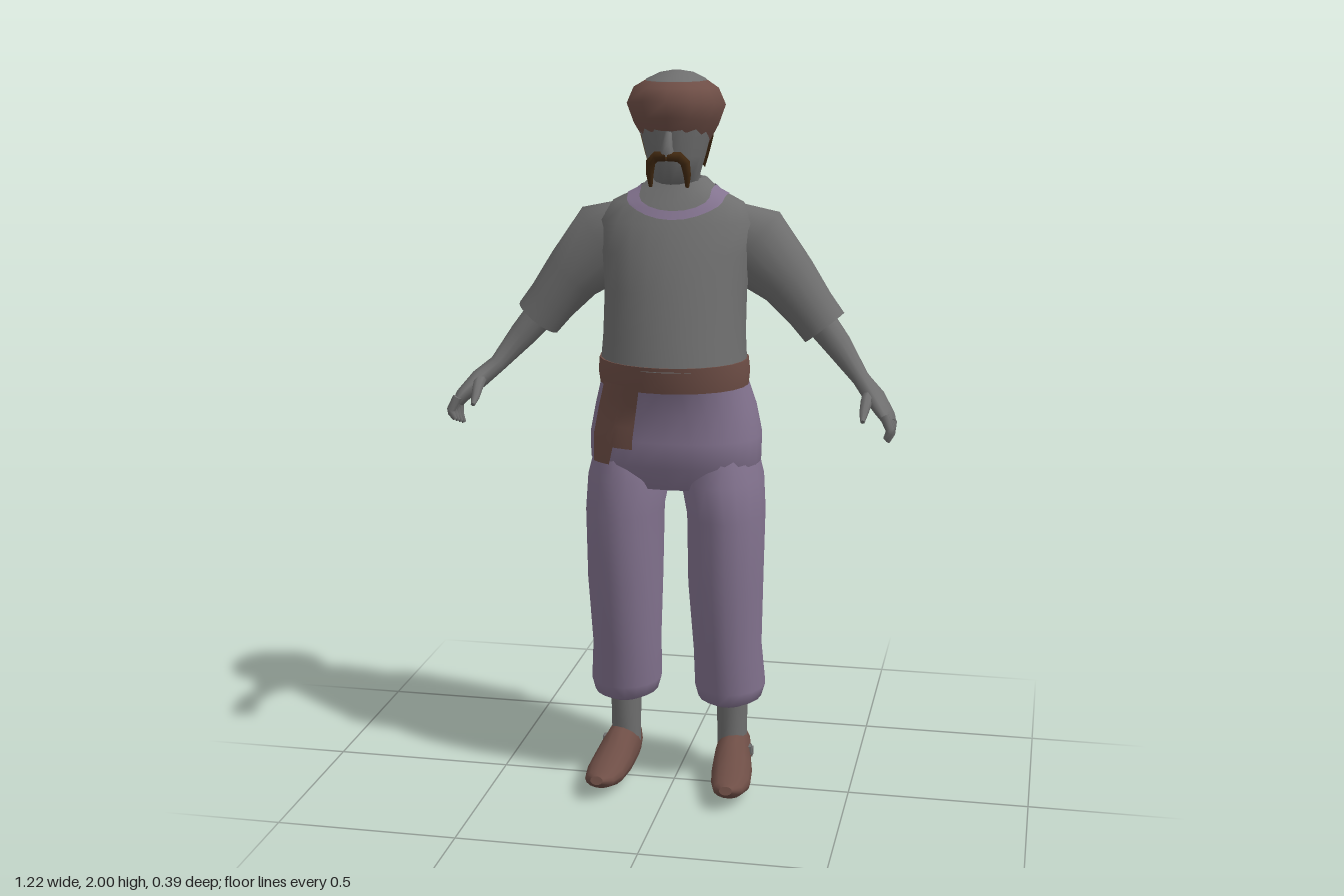
import * as THREE from 'three';

const mat = (name, color) => Object.assign(new THREE.MeshStandardMaterial({ color }), { name });

// Surface through rows of points; closed rows wrap round and get flat end caps
function grid(rows, closed = true) {
  const n = rows[0].length, pos = rows.flat().flatMap(p => [p.x, p.y, p.z]), idx = [];
  for (let i = 0; i < rows.length - 1; i++) {
    for (let j = 0; j < (closed ? n : n - 1); j++) {
      const k = (j + 1) % n, a = i * n + j, b = i * n + k;
      idx.push(a, a + n, b, b, a + n, b + n);
    }
  }
  if (closed) {
    for (const [row, first] of [[rows[0], true], [rows[rows.length - 1], false]]) {
      const base = pos.length / 3, mid = new THREE.Vector3();
      row.forEach(p => { pos.push(p.x, p.y, p.z); mid.addScaledVector(p, 1 / n); });
      pos.push(mid.x, mid.y, mid.z);
      for (let j = 0; j < n; j++) {
        const a = base + j, b = base + (j + 1) % n;
        first ? idx.push(base + n, a, b) : idx.push(base + n, b, a);
      }
    }
  }
  const g = new THREE.BufferGeometry();
  g.setAttribute('position', new THREE.Float32BufferAttribute(pos, 3));
  g.setIndex(idx);
  g.computeVertexNormals();
  return g;
}

// Point on a level ring [cx, y, cz, rx, rz, tilt, exponent]
function ringPoint([cx, y, cz, rx, rz, tilt = 0, e = 1], a, grow = 0) {
  const c = Math.cos(a), s = Math.sin(a);
  const x = Math.sign(c) * Math.abs(c) ** e, z = Math.sign(s) * Math.abs(s) ** e;
  return new THREE.Vector3(cx + (rx + grow) * x, y + tilt * z, cz + (rz + grow) * z);
}

// Stack of level rings, listed from bottom to top
const stack = (rings, n = 20) => grid(rings.map(r =>
  Array.from({ length: n }, (_, j) => ringPoint(r, j / n * Math.PI * 2))));

// Thin patch lying on a stack between two angles (degrees) and two heights
function patch(rings, a0, a1, low, high, grow, cols = 16, steps = 6) {
  const at = (a, y) => {
    let i = 0;
    while (i < rings.length - 2 && rings[i + 1][1] < y) i++;
    const t = (y - rings[i][1]) / (rings[i + 1][1] - rings[i][1]);
    return ringPoint(rings[i].map((v, k) => v + (rings[i + 1][k] - v) * t), a, grow);
  };
  return grid(Array.from({ length: steps + 1 }, (_, i) => Array.from({ length: cols + 1 }, (_, j) => {
    const u = j / cols, a = THREE.MathUtils.degToRad(a0 + (a1 - a0) * u);
    return at(a, low(u, a) + (high(u, a) - low(u, a)) * i / steps);
  })), false);
}

// Limb along points [x, y, z, ru, rv]
function limb(points, n = 12, ref = new THREE.Vector3(0, 0, 1)) {
  const c = points.map(p => new THREE.Vector3(p[0], p[1], p[2]));
  return grid(points.map((p, i) => {
    const d = c[Math.min(i + 1, c.length - 1)].clone().sub(c[Math.max(i - 1, 0)]).normalize();
    const u = d.clone().cross(ref).normalize(), v = u.clone().cross(d);
    return Array.from({ length: n }, (_, j) => {
      const a = j / n * Math.PI * 2;
      return c[i].clone().addScaledVector(u, p[3] * Math.cos(a)).addScaledVector(v, p[4] * Math.sin(a));
    });
  }));
}

function mirrored(geometry) {
  const g = geometry.clone().scale(-1, 1, 1);
  g.setIndex(Array.from(g.index.array).reverse());
  g.computeVertexNormals();
  return g;
}

export function createModel() {
  const model = new THREE.Group();
  const grey = mat('grey', 0x6e6e6e), purple = mat('purple', 0x83738f);
  const brown = mat('brown', 0x6e4e46), dark = mat('darkBrown', 0x402810);
  purple.side = brown.side = dark.side = THREE.DoubleSide;
  const add = (name, geometry, material) => {
    const m = new THREE.Mesh(geometry, material);
    m.name = name;
    model.add(m);
  };
  const pair = (name, geometry, material) => {
    add(name + 'Left', geometry, material);
    add(name + 'Right', mirrored(geometry), material);
  };

  // Shirt body and V collar
  const torso = [
    [0, 1.225, 0.003, 0.2, 0.178], [0, 1.3, -0.005, 0.195, 0.172], [0, 1.42, -0.022, 0.195, 0.156],
    [0, 1.52, -0.035, 0.205, 0.135], [0, 1.6, -0.05, 0.215, 0.11], [0, 1.65, -0.058, 0.18, 0.088],
    [0, 1.685, -0.063, 0.11, 0.07], [0, 1.715, -0.068, 0.075, 0.058],
  ];
  add('shirt', stack(torso, 24), grey);
  const dip = a => 1.685 - 0.06 * Math.max(0, Math.sin(a)) ** 3;
  add('collar', patch(torso, 0, 360, (u, a) => dip(a) - 0.012, (u, a) => dip(a) + 0.01, 0.004, 36), purple);

  // Sleeves, forearms and hands
  pair('sleeve', limb([
    [0.12, 1.585, -0.075, 0.075, 0.07], [0.2, 1.535, -0.08, 0.115, 0.083], [0.3, 1.44, -0.08, 0.083, 0.074],
    [0.36, 1.365, -0.077, 0.07, 0.066], [0.4, 1.315, -0.075, 0.067, 0.064],
  ], 16), grey);
  pair('forearm', limb([
    [0.38, 1.34, -0.075, 0.045, 0.046], [0.44, 1.27, -0.06, 0.038, 0.042], [0.505, 1.19, -0.025, 0.024, 0.026],
    [0.545, 1.155, 0.02, 0.026, 0.045], [0.582, 1.115, 0.065, 0.02, 0.052], [0.594, 1.095, 0.072, 0.014, 0.05],
  ]), grey);
  for (let i = 0; i < 4; i++) {
    const z = 0.03 + i * 0.027;
    pair('finger' + (i + 1), limb([
      [0.583, 1.12, z, 0.013, 0.014], [0.6, 1.085, z + 0.006, 0.012, 0.013],
      [0.598, 1.055 + i * 0.007, z + 0.008, 0.01, 0.011], [0.588, 1.032 + i * 0.009, z + 0.008, 0.006, 0.006],
    ], 7), grey);
  }
  pair('thumb', limb([
    [0.535, 1.165, 0.025, 0.016, 0.016], [0.533, 1.15, 0.075, 0.017, 0.016],
    [0.53, 1.125, 0.115, 0.012, 0.012], [0.53, 1.108, 0.142, 0.006, 0.006],
  ], 8, new THREE.Vector3(1, 0, 0)), grey);

  // Belt, trouser seat and hanging sash end
  const seat = [
    [0, 0.88, -0.028, 0.2, 0.115, 0, 0.9], [0, 0.95, -0.028, 0.236, 0.158, 0, 0.85],
    [0, 1.02, -0.03, 0.237, 0.163, 0, 0.85], [0, 1.1, -0.027, 0.222, 0.158, 0, 0.9],
    [0, 1.18, -0.005, 0.2, 0.168, 0, 1],
  ];
  add('trouserSeat', stack(seat, 28), purple);
  add('belt', stack([[0, 1.165, -0.005, 0.204, 0.172], [0, 1.2, -0.002, 0.208, 0.179], [0, 1.237, 0.001, 0.204, 0.181]], 24), brown);
  add('sashEnd', patch(seat, 108, 147, u => u < 0.5 ? 1.0 : 0.95, () => 1.178, 0.008, 10), brown);

  // Baggy trouser legs and ankles
  pair('trouserLeg', stack([
    [0.15, 0.235, -0.06, 0.06, 0.08], [0.15, 0.25, -0.06, 0.09, 0.108], [0.15, 0.285, -0.062, 0.1, 0.118],
    [0.145, 0.4, -0.045, 0.096, 0.12], [0.143, 0.6, -0.02, 0.105, 0.13], [0.143, 0.8, -0.022, 0.108, 0.147],
    [0.13, 0.9, -0.028, 0.115, 0.152], [0.13, 1.0, -0.03, 0.09, 0.125],
  ], 18), purple);
  pair('ankle', stack([[0.155, 0.08, -0.07, 0.042, 0.048], [0.155, 0.26, -0.07, 0.045, 0.052]], 12), grey);

  // Shoes with turned-up toes: [z, cx, half width, bottom, top]
  pair('shoe', limb([
    [-0.132, 0.16, 0.025, 0.02, 0.11], [-0.118, 0.16, 0.043, 0, 0.135], [-0.07, 0.162, 0.05, -0.002, 0.145],
    [-0.02, 0.165, 0.053, -0.002, 0.135], [0.03, 0.172, 0.057, 0, 0.105], [0.1, 0.18, 0.055, 0.005, 0.082],
    [0.16, 0.182, 0.042, 0.025, 0.073], [0.198, 0.182, 0.018, 0.05, 0.074],
  ].map(([z, x, w, lo, hi]) => [x, (lo + hi) / 2, z, w, (hi - lo) / 2]), 14, new THREE.Vector3(0, 1, 0)), brown);
  for (const [y, z, x] of [[0.09, -0.04, 0.212], [0.06, -0.1, 0.207]]) {
    pair('shoePatch', new THREE.BoxGeometry(0.009, 0.024, 0.024).translate(x, y, z), grey);
  }

  // Head, nape hair, nose and drooping moustache
  const head = [
    [0, 1.66, -0.07, 0.075, 0.058, 0], [0, 1.705, -0.067, 0.066, 0.056, 0], [0, 1.72, -0.032, 0.062, 0.085, -0.014],
    [0, 1.78, -0.025, 0.08, 0.105, 0], [0, 1.86, -0.025, 0.1, 0.115, 0],
  ];
  add('head', stack(head, 16), grey);
  add('napeHair', patch(head, 184, 356, () => 1.74, () => 1.83, 0.007), dark);
  add('nose', limb([[0, 1.845, 0.085, 0.01, 0.01], [0, 1.81, 0.1, 0.015, 0.016], [0, 1.787, 0.096, 0.02, 0.016]], 8), grey);
  pair('moustache', limb([
    [0, 1.785, 0.102, 0.012, 0.012], [0.03, 1.784, 0.095, 0.014, 0.013], [0.046, 1.768, 0.087, 0.013, 0.012],
    [0.05, 1.735, 0.08, 0.01, 0.01], [0.049, 1.703, 0.074, 0.005, 0.005],
  ], 8), dark);

  // Turban wrap and its cap
  add('turban', stack([
    [0, 1.82, -0.025, 0.09, 0.115, 0.03], [0, 1.86, -0.025, 0.115, 0.135, 0.025], [0, 1.912, -0.023, 0.134, 0.141, 0.015],
    [0, 1.955, -0.023, 0.115, 0.122, 0.004], [0, 1.974, -0.026, 0.083, 0.1, 0],
  ], 12), brown);
  add('cap', stack([
    [0, 1.97, -0.026, 0.083, 0.1], [0, 1.976, -0.026, 0.082, 0.099], [0, 1.994, -0.026, 0.045, 0.06], [0, 2.0, -0.026, 0.012, 0.015],
  ], 12), grey);
  return model;
}
